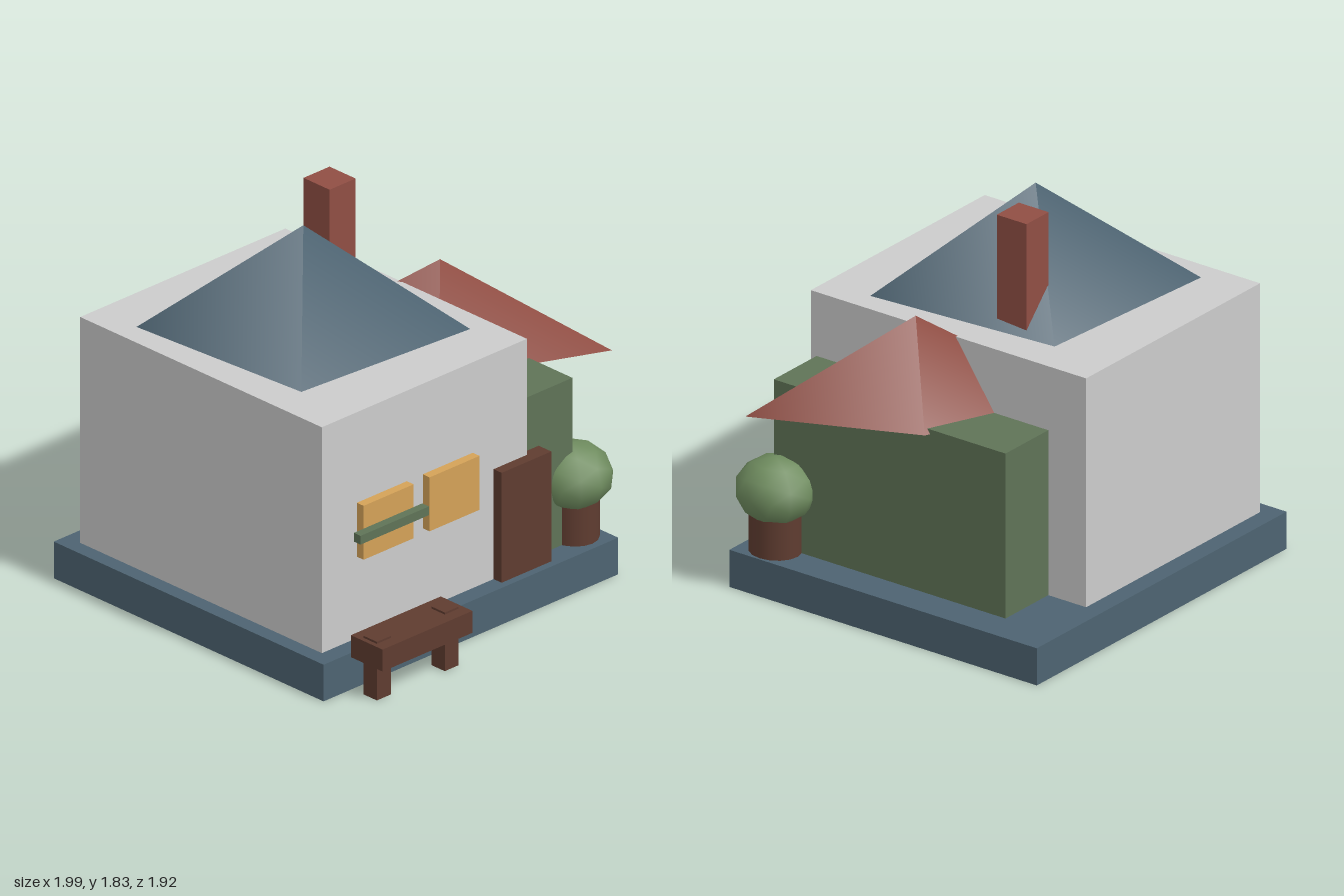
import * as THREE from 'three';

export function createModel() {
  const house = new THREE.Group();
  house.name = 'house';

  const mat = (color) => new THREE.MeshStandardMaterial({ color });
  const slate = mat(0x4d6371), wall = mat(0xccccc8), green = mat(0x5f7357);
  const red = mat(0x904e44), wood = mat(0x5f3c30), amber = mat(0xd4a258), leaf = mat(0x6f8c5f);

  function add(name, geometry, material, parent = house) {
    const mesh = new THREE.Mesh(geometry, material);
    mesh.name = name;
    parent.add(mesh);
    return mesh;
  }

  // Box given by its extents on each axis
  function box(name, material, [x0, x1], [y0, y1], [z0, z1], parent) {
    const mesh = add(name, new THREE.BoxGeometry(x1 - x0, y1 - y0, z1 - z0), material, parent);
    mesh.position.set((x0 + x1) / 2, (y0 + y1) / 2, (z0 + z1) / 2);
    return mesh;
  }

  // Four-sided roof stretched along its two diagonals
  function roof(name, material, x, z, y0, y1, across, along) {
    const mesh = add(name, new THREE.ConeGeometry(1, 1, 4), material);
    mesh.scale.set(across, y1 - y0, along);
    mesh.rotation.y = Math.PI / 4;
    mesh.position.set(x, (y0 + y1) / 2, z);
  }

  // Ground slab and the two building blocks
  box('base', slate, [-1, 0.81], [0, 0.18], [-0.96, 0.745]);
  box('mainBlock', wall, [-0.925, 0.335], [0.18, 1.29], [-0.87, 0.657]);
  box('sideWing', green, [0.2, 0.645], [0.18, 0.98], [-0.66, 0.625]);

  // Roofs and chimney
  roof('mainRoof', slate, -0.296, -0.107, 1.29, 1.795, 0.635, 0.735);
  roof('wingRoof', red, 0.457, -0.018, 0.957, 1.4, 0.302, 0.757);
  box('chimney', red, [-0.02, 0.14], [1.28, 1.832], [-0.39, -0.225]);

  // Front door, windows and window shelf
  box('door', wood, [0.13, 0.435], [0.18, 0.72], [0.628, 0.708]);
  for (const x of [-0.71, -0.305]) {
    box('window', amber, [x, x + 0.307], [0.58, 0.845], [0.64, 0.7]);
  }
  box('windowShelf', green, [-0.77, -0.35], [0.69, 0.733], [0.7, 0.742]);

  // Bench with legs that pass just through the seat
  const bench = new THREE.Group();
  bench.name = 'bench';
  house.add(bench);
  box('benchSeat', wood, [-0.847, -0.295], [0.17, 0.278], [0.76, 0.96], bench);
  for (const x of [-0.825, -0.408]) {
    box('benchLeg', wood, [x, x + 0.085], [0, 0.288], [0.817, 0.902], bench);
  }

  // Potted bush beside the door
  const pot = add('pot', new THREE.CylinderGeometry(1, 1, 0.22, 16), wood);
  pot.scale.set(0.113, 1, 0.124);
  pot.position.set(0.687, 0.29, 0.585);
  const bush = add('bush', new THREE.IcosahedronGeometry(1, 1), leaf);
  bush.scale.set(0.184, 0.156, 0.188);
  bush.position.set(0.685, 0.477, 0.582);

  return house;
}
